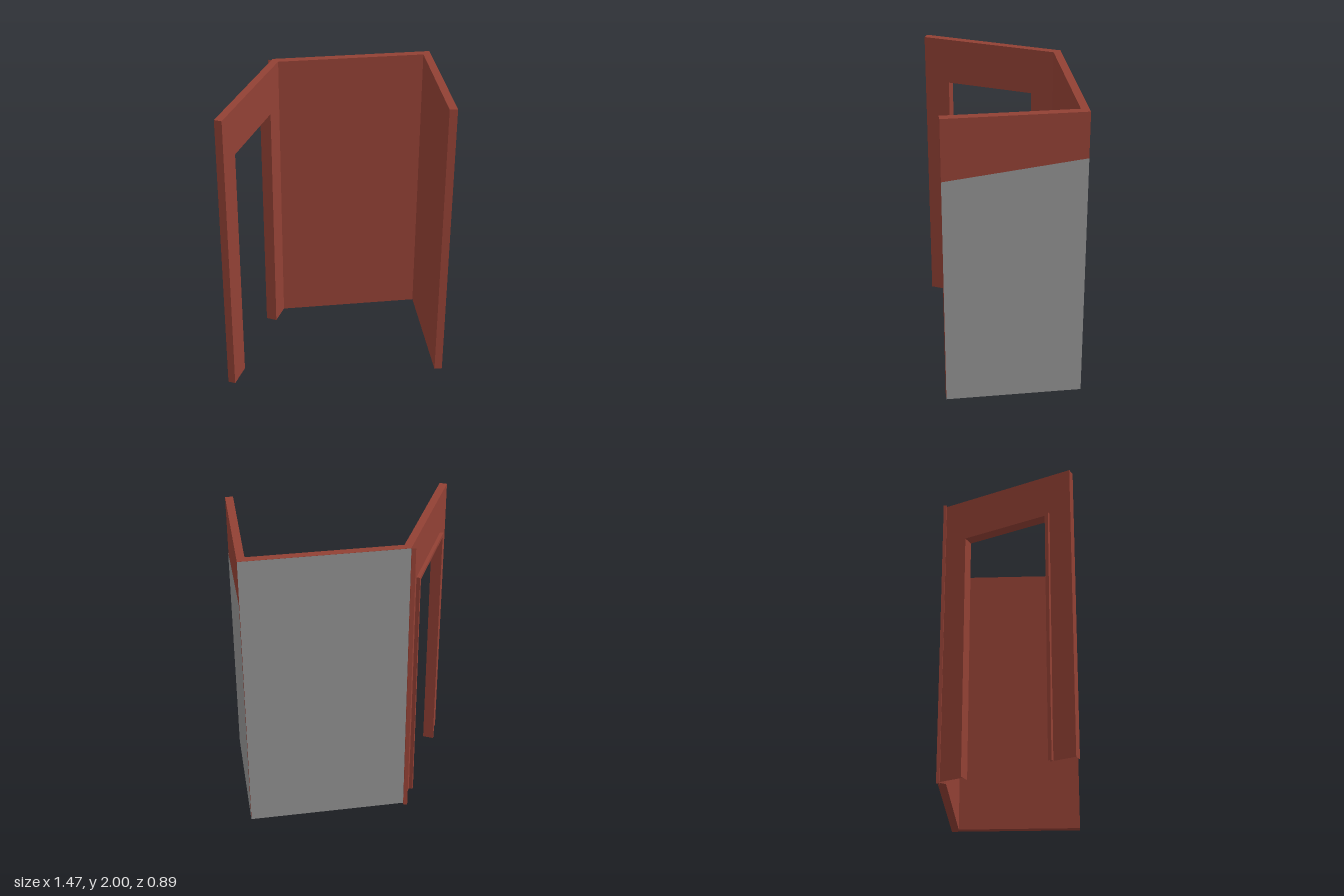
import * as THREE from 'three';

const BASE = 0.015, TOP = 2, DOOR = 1.69;

// Upright prism over a convex footprint of [x, z] corners; either cap can be left open
function prism(points, y0, y1, { top = true, bottom = true } = {}) {
  let area = 0;
  points.forEach(([x, z], i) => {
    const [x2, z2] = points[(i + 1) % points.length];
    area += x * z2 - x2 * z;
  });
  const p = area > 0 ? [...points].reverse() : points;
  const out = [];
  const put = ([x, z], y) => out.push(x, y, z);
  p.forEach((a, i) => {
    const b = p[(i + 1) % p.length];
    put(a, y0); put(b, y0); put(b, y1);
    put(a, y0); put(b, y1); put(a, y1);
  });
  for (let i = 1; i < p.length - 1; i++) {
    if (top) { put(p[0], y1); put(p[i], y1); put(p[i + 1], y1); }
    if (bottom) { put(p[0], y0); put(p[i + 1], y0); put(p[i], y0); }
  }
  const g = new THREE.BufferGeometry();
  g.setAttribute('position', new THREE.Float32BufferAttribute(out, 3));
  g.computeVertexNormals();
  return g;
}

export function createModel() {
  const model = new THREE.Group();
  model.name = 'roomCorner';
  const red = new THREE.MeshStandardMaterial({ color: 0x914034 });
  red.name = 'brickRed';
  const grey = new THREE.MeshStandardMaterial({ color: 0x919191 });
  grey.name = 'plainGrey';

  const add = (name, geometry, material, parent = model) => {
    const mesh = new THREE.Mesh(geometry, material);
    mesh.name = name;
    parent.add(mesh);
  };

  // Main walls, mitred where they meet
  const cornerOut = [-0.316, -0.443], cornerIn = [-0.284, -0.392];
  const rightOut = [0.734, -0.443], rightIn = [0.684, -0.392];
  add('backWall', prism([cornerOut, rightOut, rightIn, cornerIn], BASE, TOP), red);
  add('sideWall', prism([rightOut, [0.734, 0.447], [0.682, 0.447], rightIn], BASE, TOP), red);

  // Grey outer facings
  const backFace = new THREE.PlaneGeometry(1.05, TOP - BASE);
  backFace.rotateY(Math.PI).translate(0.209, (TOP + BASE) / 2, -0.445);
  add('backFacing', backFace, grey);

  const slanted = new THREE.Shape();
  slanted.moveTo(-0.447, BASE);
  slanted.lineTo(0.443, BASE);
  slanted.lineTo(0.443, 1.7);
  slanted.lineTo(-0.447, 1.595);
  const sideFace = new THREE.ShapeGeometry(slanted);
  sideFace.rotateY(Math.PI / 2).translate(0.736, 0, 0);
  add('sideFacing', sideFace, grey);

  // Angled wall: t runs along its outer face, depth goes inwards
  const at = (t, depth) => [
    cornerOut[0] - 0.444 * t + 0.896 * depth,
    cornerOut[1] + 0.896 * t + 0.444 * depth,
  ];
  const strip = (t0, t1, d0, d1) => [at(t0, d0), at(t1, d0), at(t1, d1), at(t0, d1)];
  const open0 = 0.184, open1 = 0.779, end = 0.951, thick = 0.05;
  const doorWall = new THREE.Group();
  doorWall.name = 'doorWall';
  model.add(doorWall);
  add('nearPier', prism([cornerOut, at(open0, 0), at(open0, thick), cornerIn],
    BASE, TOP, { bottom: false }), red, doorWall);
  add('farPier', prism(strip(open1, end, 0, thick), BASE, TOP, { bottom: false }), red, doorWall);
  add('lintel', prism(strip(open0, open1, 0, thick), DOOR, TOP), red, doorWall);

  // Raised trim around the outside of the doorway
  const trim = 0.023;
  for (const [name, t] of [['nearTrim', open0 - trim], ['farTrim', open1]]) {
    add(name, prism(strip(t, t + trim, -0.024, 0), BASE, DOOR + trim, { bottom: false }), red, doorWall);
  }
  add('headTrim', prism(strip(open0, open1, -0.024, 0), DOOR, DOOR + trim), red, doorWall);

  // Slim open-ended post covering the outside corner
  add('cornerPost', prism([[-0.345, -0.448], [-0.318, -0.448], [-0.318, -0.427], [-0.345, -0.427]],
    0, TOP, { top: false, bottom: false }), red);

  return model;
}
